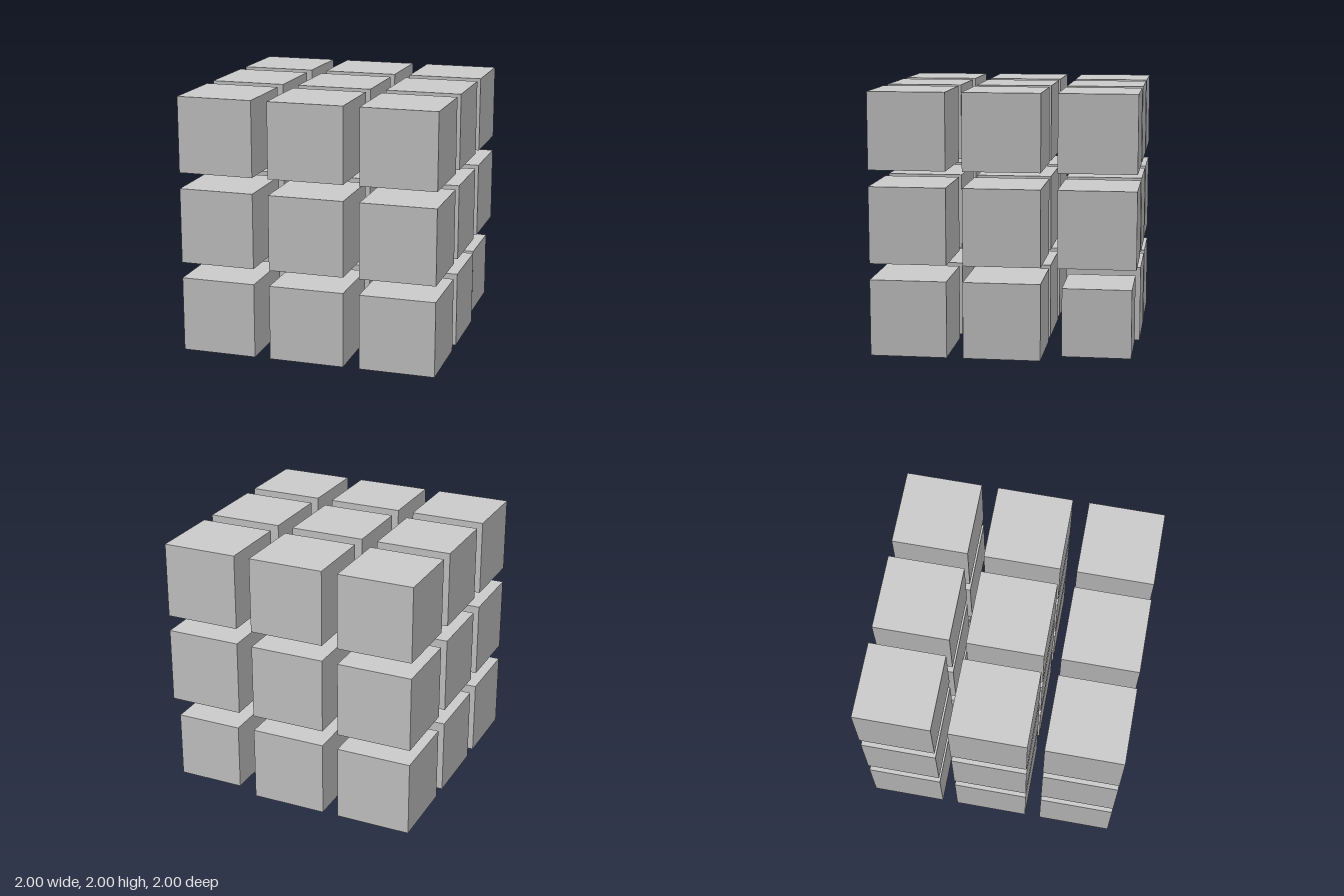
import * as THREE from 'three';

export function createModel() {
  const group = new THREE.Group();
  group.name = 'cubeGrid';
  const material = new THREE.MeshStandardMaterial({ color: 0xcccccc, flatShading: true });

  const size = 0.584;
  const pitch = (2 - size) / 2;
  const cube = new THREE.BoxGeometry(size, size, size);
  const smallCube = new THREE.BoxGeometry(0.52, 0.52, 0.52);

  // 3 x 3 x 3 grid of separate cubes; the bottom back left corner one is smaller
  for (let i = -1; i <= 1; i++) {
    for (let j = -1; j <= 1; j++) {
      for (let k = -1; k <= 1; k++) {
        const isSmall = i === 1 && j === -1 && k === -1;
        const mesh = new THREE.Mesh(isSmall ? smallCube : cube, material);
        mesh.name = isSmall ? 'smallCornerCube' : 'cube';
        mesh.position.set(i * pitch, 1 + j * pitch, k * pitch);
        group.add(mesh);
      }
    }
  }
  return group;
}
